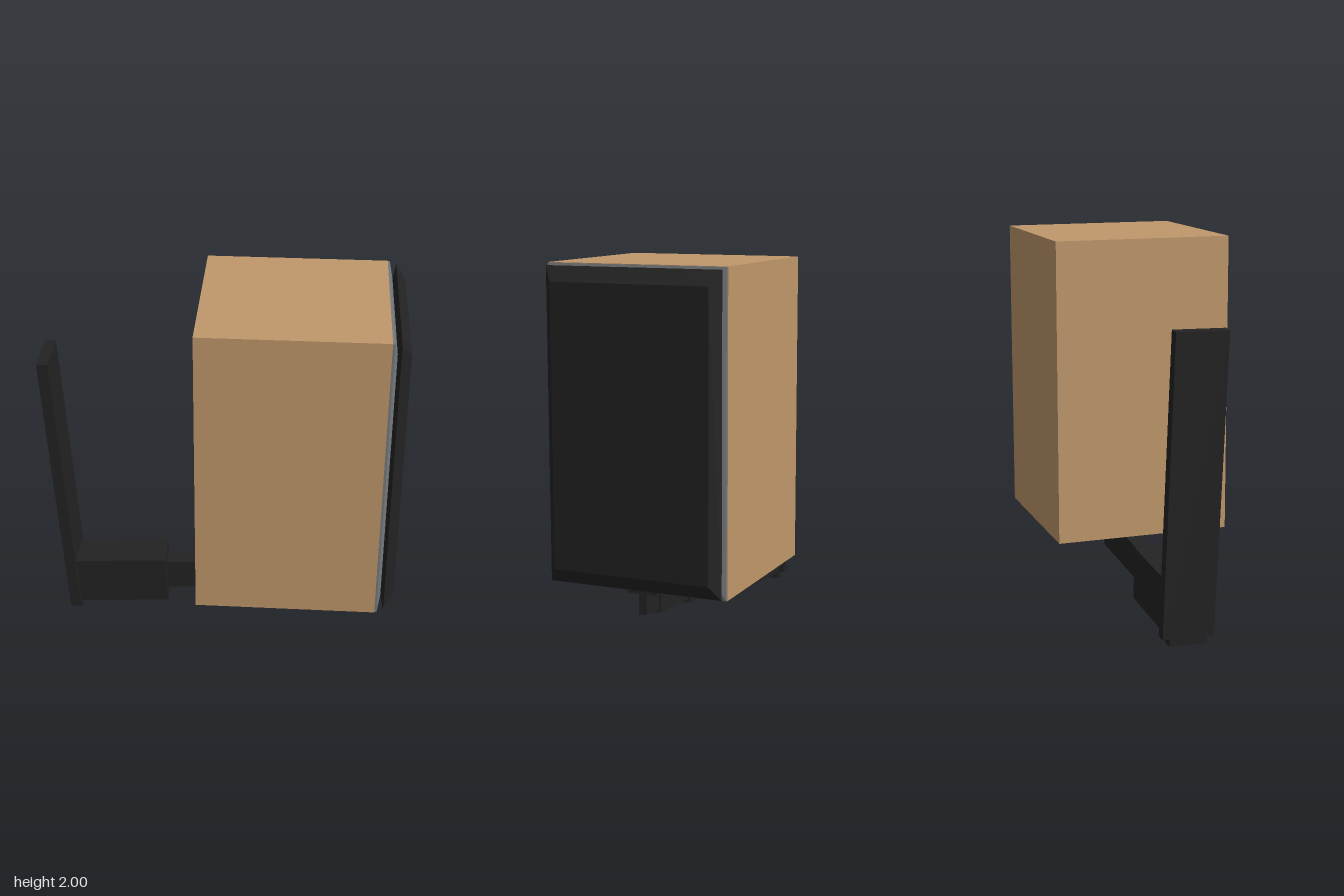
import * as THREE from 'three';

const wood = new THREE.MeshStandardMaterial({ color: 0xc0986b });
wood.name = 'wood';
const black = new THREE.MeshStandardMaterial({ color: 0x232323 });
black.name = 'black';
const grey = new THREE.MeshStandardMaterial({ color: 0x777a7c });
grey.name = 'grey';

// Box given by its limits on each axis
function box(name, material, [x0, x1], [y0, y1], [z0, z1]) {
  const mesh = new THREE.Mesh(new THREE.BoxGeometry(x1 - x0, y1 - y0, z1 - z0), material);
  mesh.position.set((x0 + x1) / 2, (y0 + y1) / 2, (z0 + z1) / 2);
  mesh.name = name;
  return mesh;
}

// Rectangular sections [x, half height, half width] joined along x, with flat faces
function bevelledPanel(name, material, sections) {
  const rings = sections.map(([x, h, w]) => [[x, -h, w], [x, -h, -w], [x, h, -w], [x, h, w]]);
  const points = [];
  const quad = (a, b, c, d) => points.push(...a, ...b, ...c, ...a, ...c, ...d);
  for (let i = 0; i < rings.length - 1; i++) {
    for (let j = 0; j < 4; j++) {
      const k = (j + 1) % 4;
      quad(rings[i][j], rings[i][k], rings[i + 1][k], rings[i + 1][j]);
    }
  }
  const first = rings[0], last = rings[rings.length - 1];
  quad(first[3], first[2], first[1], first[0]);
  quad(last[0], last[1], last[2], last[3]);
  const geometry = new THREE.BufferGeometry();
  geometry.setAttribute('position', new THREE.Float32BufferAttribute(points, 3));
  geometry.computeVertexNormals();
  const mesh = new THREE.Mesh(geometry, material);
  mesh.name = name;
  return mesh;
}

export function createModel() {
  const model = new THREE.Group();
  model.name = 'wallSpeaker';

  // Speaker: wooden cabinet, grey bevelled baffle, dark grille
  const speaker = new THREE.Group();
  speaker.name = 'speaker';
  speaker.position.y = 1.18;
  speaker.add(
    box('cabinet', wood, [-0.108, 0.865], [-0.82, 0.82], [-0.485, 0.485]),
    bevelledPanel('baffle', grey, [[0.865, 0.818, 0.483], [0.877, 0.818, 0.483], [0.896, 0.73, 0.43]]),
    bevelledPanel('grille', black, [[0.892, 0.73, 0.43], [0.912, 0.807, 0.474], [0.965, 0.73, 0.425]]),
  );
  model.add(speaker);

  // Wall bracket, leaning slightly as one piece
  const bracket = new THREE.Group();
  bracket.name = 'bracket';
  bracket.position.set(-0.84, 0.003, -0.025);
  bracket.rotation.set(0.018, 0, 0.058);
  bracket.add(
    box('wallPlate', black, [-0.03, 0.03], [0.04, 1.637], [-0.14, 0.14]),
    box('wallPlateTab', black, [-0.03, 0.03], [0, 0.04], [-0.103, 0.103]),
  );

  // Telescoping arm: [start, end, bottom, top, half width]
  [
    [0.03, 0.54, 0.041, 0.326, 0.104],
    [0.54, 1.23, 0.096, 0.274, 0.05],
    [1.23, 1.565, 0.113, 0.255, 0.032],
    [1.565, 1.715, 0.132, 0.242, 0.02],
  ].forEach(([x0, x1, y0, y1, w], i) => {
    bracket.add(box(`armSection${i + 1}`, black, [x0, x1], [y0, y1], [-w, w]));
  });

  // Cross lip under the cabinet's front edge
  bracket.add(box('mountingLip', black, [1.69, 1.72], [0.24, 0.258], [-0.08, 0.08]));
  model.add(bracket);

  return model;
}
